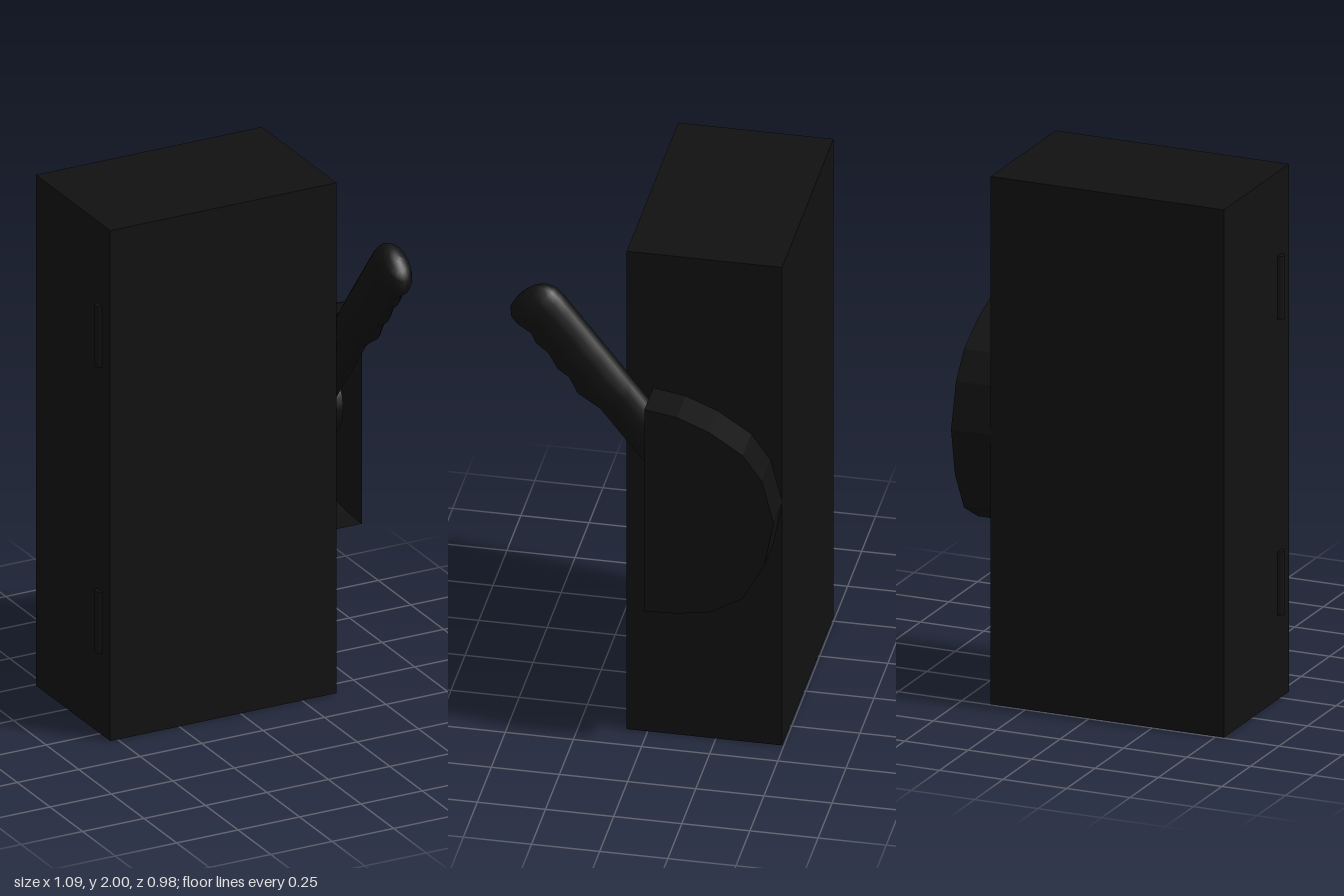
import * as THREE from 'three';

const black = new THREE.MeshStandardMaterial({ color: 0x111111 });
const blackThin = new THREE.MeshStandardMaterial({ color: 0x111111, side: THREE.DoubleSide });

function add(parent, name, geometry, material, x, y, z) {
  const mesh = new THREE.Mesh(geometry, material);
  mesh.name = name;
  mesh.position.set(x, y, z);
  parent.add(mesh);
  return mesh;
}

// Open-fronted shell: a flat outer cheek and a faceted rim reaching to the cabinet
function housingGeometry(outline, xIn, xOut) {
  const pos = [];
  const tri = (...pts) => pts.forEach((p) => pos.push(...p));
  const at = (x, i) => [x, outline[i][1], outline[i][0]];
  for (let i = 0; i < outline.length - 1; i++) {
    const a = at(xIn, i), b = at(xOut, i), c = at(xOut, i + 1), d = at(xIn, i + 1);
    tri(a, b, c, a, c, d);
    if (i > 0) tri(at(xOut, 0), c, b);
  }
  const g = new THREE.BufferGeometry();
  g.setAttribute('position', new THREE.Float32BufferAttribute(pos, 3));
  g.computeVertexNormals();
  return g;
}

// Oval sections lofted along y; each row is [y, lower edge, upper edge, half width]
function leverGeometry(rows, sides = 16) {
  const pos = [], idx = [];
  for (const [t, low, high, w] of rows) {
    for (let i = 0; i < sides; i++) {
      const a = (i / sides) * Math.PI * 2;
      pos.push(w * Math.cos(a), t, -(low + high) / 2 + ((high - low) / 2) * Math.sin(a));
    }
  }
  for (let r = 0; r < rows.length - 1; r++) {
    for (let i = 0; i < sides; i++) {
      const j = (i + 1) % sides;
      const a = r * sides + i, b = r * sides + j, c = a + sides, d = b + sides;
      idx.push(a, c, b, b, c, d);
    }
  }
  // close both ends
  const last = (rows.length - 1) * sides;
  for (let i = 1; i < sides - 1; i++) {
    idx.push(0, i, i + 1, last, last + i + 1, last + i);
  }
  const g = new THREE.BufferGeometry();
  g.setAttribute('position', new THREE.Float32BufferAttribute(pos, 3));
  g.setIndex(idx);
  g.computeVertexNormals();
  return g;
}

export function createModel() {
  const model = new THREE.Group();
  model.name = 'switchBox';

  // Cabinet
  add(model, 'cabinet', new THREE.BoxGeometry(0.92, 2, 0.57), black, -0.07, 1, -0.208);

  // Two hinge barrels half sunk in the side
  for (const y of [0.44, 1.56]) {
    add(model, 'hinge', new THREE.CylinderGeometry(0.021, 0.021, 0.24, 12), black, -0.528, y, -0.005);
  }

  // Side housing, outline as [z, y] from top front to bottom front
  const outline = [
    [-0.02, 1.44], [-0.14, 1.42], [-0.26, 1.37], [-0.38, 1.29], [-0.45, 1.19], [-0.494, 1.02],
    [-0.46, 0.84], [-0.38, 0.69], [-0.26, 0.62], [-0.14, 0.6], [-0.02, 0.595],
  ];
  add(model, 'leverHousing', housingGeometry(outline, 0.388, 0.545), blackThin, 0, 0, 0);

  // Pivot drum inside the housing
  const pivot = add(model, 'leverPivot', new THREE.CylinderGeometry(0.14, 0.14, 0.125, 20), black, 0.45, 1.02, -0.24);
  pivot.rotation.z = Math.PI / 2;

  // Lever with finger-grip waves on its lower edge and a rounded tip
  const rows = [
    [-0.42, -0.03, 0.03, 0.03], [-0.4, -0.065, 0.065, 0.05], [-0.36, -0.084, 0.084, 0.058],
    [0.04, -0.084, 0.084, 0.058], [0.074, -0.094, 0.085, 0.062], [0.136, -0.115, 0.086, 0.065],
    [0.205, -0.1, 0.086, 0.065], [0.256, -0.115, 0.086, 0.065], [0.325, -0.103, 0.086, 0.065],
    [0.384, -0.116, 0.086, 0.065], [0.425, -0.105, 0.086, 0.065], [0.48, -0.125, 0.086, 0.065],
    [0.515, -0.126, 0.08, 0.06], [0.545, -0.105, 0.06, 0.048], [0.56, -0.07, 0.03, 0.03],
    [0.566, -0.03, 0, 0.01],
  ];
  const lever = add(model, 'lever', leverGeometry(rows), black, 0.45, 1.395, 0.07);
  lever.rotation.x = 0.67;

  return model;
}
